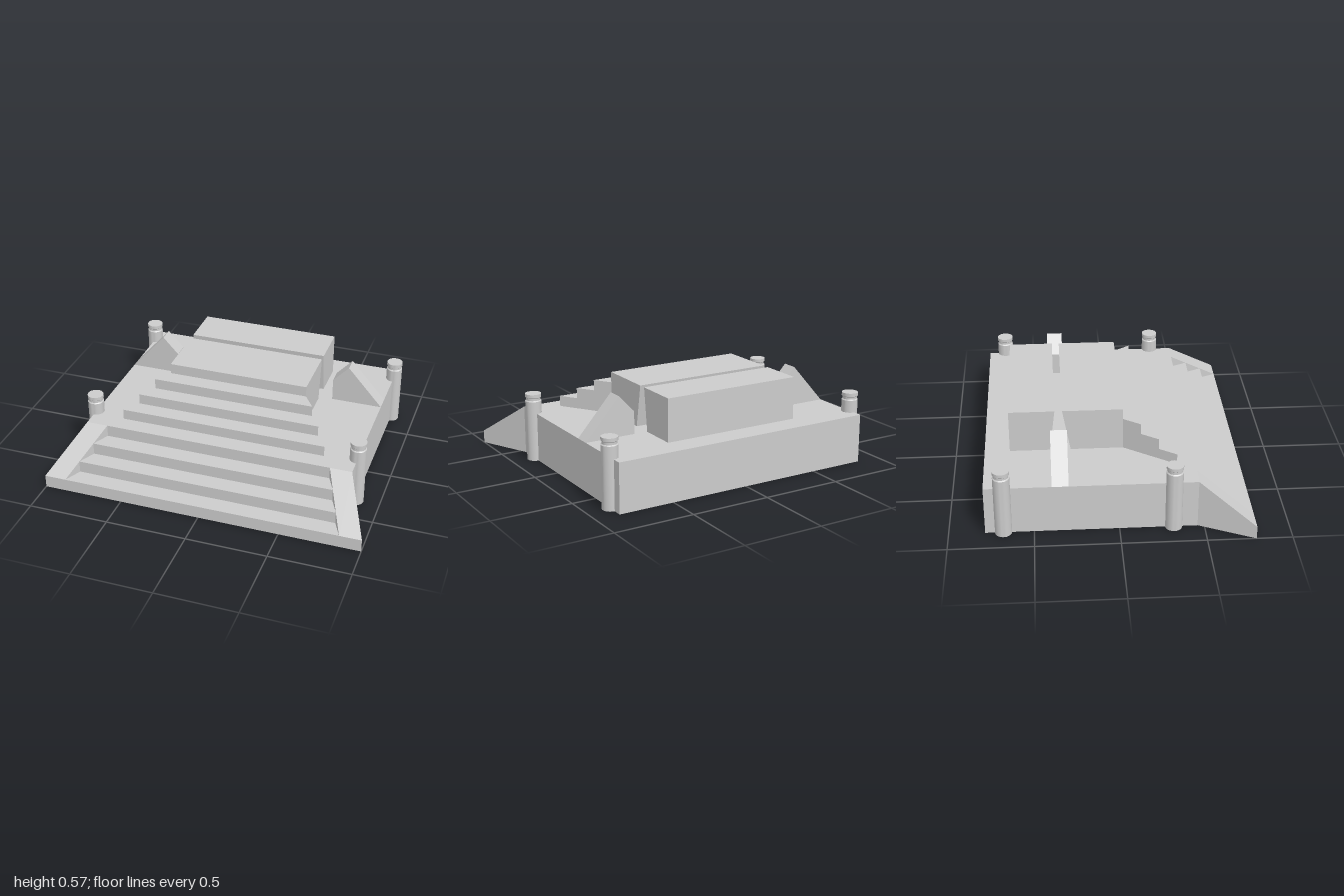
import * as THREE from 'three';
import { toCreasedNormals } from 'three/addons/utils/BufferGeometryUtils.js';

const material = new THREE.MeshStandardMaterial({ color: 0xcccccc, side: THREE.DoubleSide });

const DECK = 0.305, SIDE = 0.85, BACK = -0.787, FRONT = 0.787, EDGE = 0.46;

function addMesh(parent, name, geometry) {
  const mesh = new THREE.Mesh(geometry, material);
  mesh.name = name;
  parent.add(mesh);
  return mesh;
}

// Flat convex faces, each given as a loop of [x, y, z] corners
function facesGeometry(faces) {
  const positions = [];
  for (const f of faces) {
    for (let i = 1; i < f.length - 1; i++) positions.push(...f[0], ...f[i], ...f[i + 1]);
  }
  const g = new THREE.BufferGeometry();
  g.setAttribute('position', new THREE.Float32BufferAttribute(positions, 3));
  g.computeVertexNormals();
  return g;
}

// Mirrored copy of faces across x = 0, with the corner order reversed
const mirrorFaces = (faces) => faces.map((f) => f.map(([x, y, z]) => [-x, y, z]).reverse());

function prism(points, depth) {
  const shape = new THREE.Shape(points.map(([x, y]) => new THREE.Vector2(x, y)));
  return new THREE.ExtrudeGeometry(shape, { depth, bevelEnabled: false });
}

// Side profile given as [z, y], extruded across x and centred
function crossBlock(points, width) {
  return prism(points.map(([z, y]) => [-z, y]), width)
    .translate(0, 0, -width / 2)
    .rotateY(Math.PI / 2);
}

export function createModel() {
  const model = new THREE.Group();

  // Hollow platform, open underneath and toward the stairs
  const sideWall = [[[SIDE, 0, EDGE], [SIDE, 0, BACK], [SIDE, DECK, BACK], [SIDE, DECK, EDGE]]];
  addMesh(model, 'platform', facesGeometry([
    [[-SIDE, DECK, EDGE], [SIDE, DECK, EDGE], [SIDE, DECK, BACK], [-SIDE, DECK, BACK]],
    [[SIDE, 0, BACK], [-SIDE, 0, BACK], [-SIDE, DECK, BACK], [SIDE, DECK, BACK]],
    ...sideWall, ...mirrorFaces(sideWall),
  ]));

  // Lower staircase, widening toward the front
  const base = 0.08, rise = (DECK - base) / 3, run = (FRONT - EDGE) / 3;
  const stairHalf = (z) => 0.715 + 0.15 * (z - EDGE) / (FRONT - EDGE);
  const steps = [[[-1, 0, FRONT], [1, 0, FRONT], [1, base, FRONT], [-1, base, FRONT]]];
  const cheeks = [];
  for (let i = 0; i < 3; i++) {
    const y = base + i * rise, z0 = FRONT - i * run, z1 = z0 - run;
    const a = stairHalf(z0), b = stairHalf(z1);
    steps.push([[-a, y, z0], [a, y, z0], [b, y, z1], [-b, y, z1]]);
    steps.push([[-b, y, z1], [b, y, z1], [b, y + rise, z1], [-b, y + rise, z1]]);
    cheeks.push([[a, y, z0], [b, y + rise, z1], [b, y, z1]]);
  }
  addMesh(model, 'lowerStairs', facesGeometry(steps));

  // Sloping ramps flanking the stairs
  const ramp = [
    [[0.865, base, FRONT], [1, base, FRONT], [SIDE, DECK, EDGE], [0.715, DECK, EDGE]],
    [[1, 0, FRONT], [SIDE, 0, EDGE], [SIDE, DECK, EDGE], [1, base, FRONT]],
    ...cheeks,
  ];
  addMesh(model, 'leftRamp', facesGeometry(ramp));
  addMesh(model, 'rightRamp', facesGeometry(mirrorFaces(ramp)));

  // Upper staircase, narrowing toward the main block
  const top = 0.57, blockFront = 0.045, blockHalf = 0.445;
  const upperRise = (top - DECK) / 4, upperRun = (0.352 - blockFront) / 3;
  const upper = new THREE.Group();
  upper.name = 'upperStairs';
  model.add(upper);
  for (let i = 0; i < 3; i++) {
    const z = 0.352 - i * upperRun, half = 0.65 - i * (0.65 - blockHalf) / 3;
    const layer = prism([[-half, -z], [half, -z], [blockHalf, -blockFront], [-blockHalf, -blockFront]], upperRise);
    layer.rotateX(-Math.PI / 2).translate(0, DECK + i * upperRise, 0);
    addMesh(upper, 'upperStep', layer);
  }

  // Two blocks separated by a gap that widens downward on the rear block's side
  addMesh(model, 'frontBlock', crossBlock(
    [[blockFront, DECK], [-0.27, DECK], [-0.317, top], [blockFront, top]], 2 * blockHalf));
  addMesh(model, 'rearBlock', crossBlock(
    [[-0.395, DECK], [-0.636, DECK], [-0.636, top], [-0.362, top]], 2 * blockHalf));

  // Peaked buttresses beside the gap
  for (const s of [1, -1]) {
    const points = [[0.53, DECK], [SIDE, DECK], [0.63, 0.552], [0.53, 0.445]].map(([x, y]) => [s * x, y]);
    addMesh(model, s > 0 ? 'leftButtress' : 'rightButtress', prism(points, 0.098).translate(0, 0, -0.392));
  }

  // Corner posts with a grooved cap
  const profile = [[0, 0], [0.05, 0], [0.05, 0.382], [0.044, 0.388], [0.044, 0.402],
    [0.05, 0.407], [0.05, 0.428], [0, 0.428]].map(([r, y]) => new THREE.Vector2(r, y));
  const postGeometry = toCreasedNormals(new THREE.LatheGeometry(profile, 32), 0.5);
  for (const x of [-SIDE, SIDE]) {
    for (const z of [-0.68, 0.318]) addMesh(model, 'post', postGeometry).position.set(x, 0, z);
  }

  return model;
}
